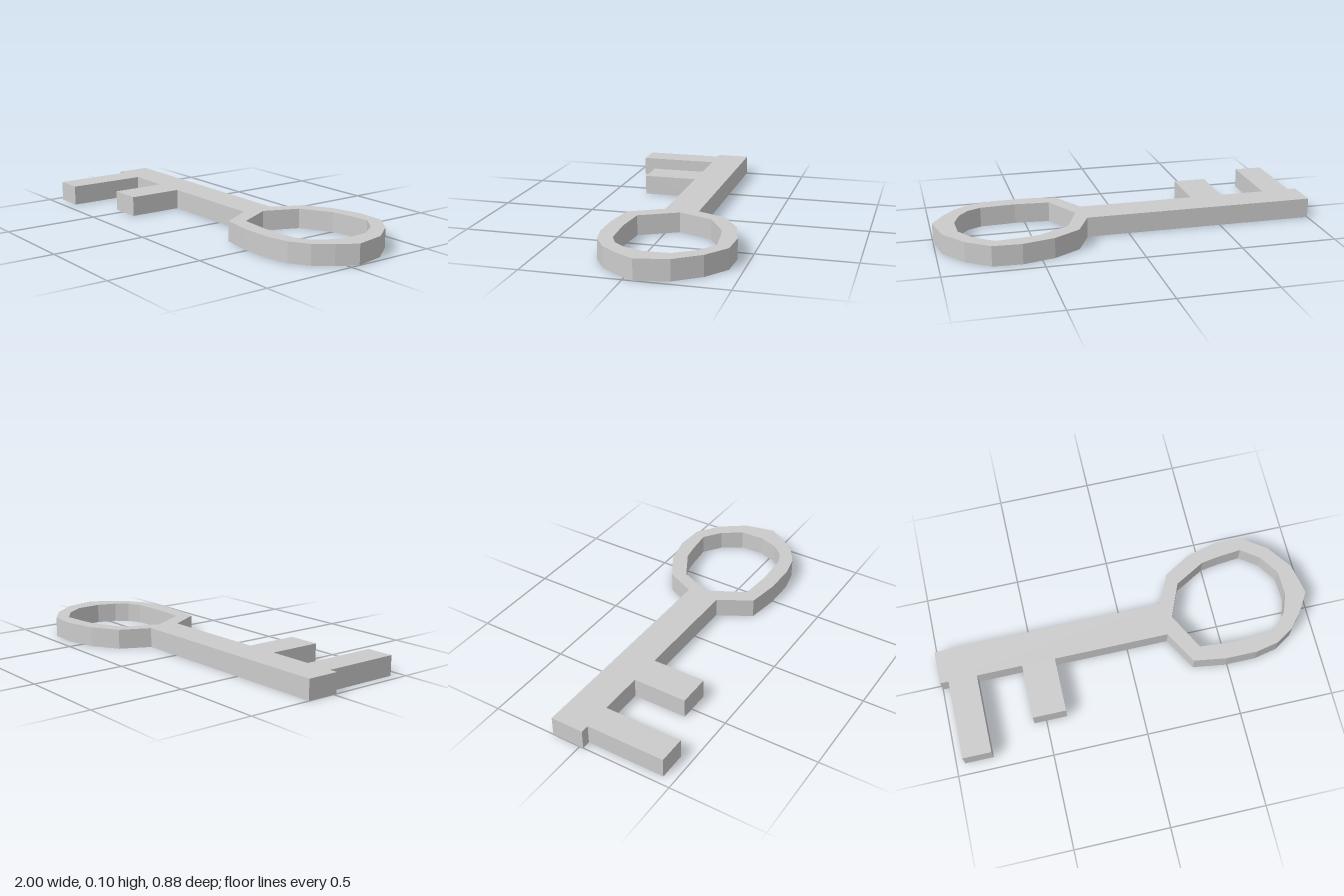
import * as THREE from 'three';

const THICKNESS = 0.105;
const SHAFT = { end: -1, back: -0.157, front: 0.02 };

// Teeth along the shaft's front edge: [x start, x end, z tip]
const TEETH = [[-0.955, -0.805, 0.44], [-0.565, -0.39, 0.31]];

// Hand-cut bow, as [x, z] in plan; the outer rim starts and ends at the shaft
const BOW_RIM = [
  [0.22, 0.02], [0.32, 0.195], [0.49, 0.22], [0.655, 0.22], [0.775, 0.195],
  [0.87, 0.135], [0.94, 0.05], [1, -0.05], [0.965, -0.215], [0.87, -0.345],
  [0.75, -0.432], [0.6, -0.44], [0.435, -0.4], [0.295, -0.315], [0.22, -0.157],
];
const BOW_HOLE = [
  [0.265, -0.07], [0.34, -0.25], [0.5, -0.34], [0.59, -0.355], [0.72, -0.368],
  [0.815, -0.3], [0.885, -0.195], [0.89, -0.065], [0.855, 0.035],
  [0.805, 0.095], [0.735, 0.13], [0.55, 0.14], [0.37, 0.125],
];

// Plan [x, z] to shape coordinates, which are laid flat after extruding
const toPlan = (points) => points.map(([x, z]) => new THREE.Vector2(x, -z));

export function createModel() {
  const group = new THREE.Group();
  group.name = 'key';

  // Shaft end, then the teeth, then around the bow
  const outline = [
    [SHAFT.end, SHAFT.back],
    [SHAFT.end, SHAFT.front],
    ...TEETH.flatMap(([x0, x1, tip]) => [
      [x0, SHAFT.front], [x0, tip], [x1, tip], [x1, SHAFT.front],
    ]),
    ...BOW_RIM,
  ];
  const shape = new THREE.Shape(toPlan(outline));
  shape.holes.push(new THREE.Path(toPlan(BOW_HOLE)));

  // One flat solid, standing on y = 0
  const geometry = new THREE.ExtrudeGeometry(shape, { depth: THICKNESS, bevelEnabled: false });
  geometry.rotateX(-Math.PI / 2);

  const material = new THREE.MeshStandardMaterial({ color: 0xcccccc, flatShading: true });
  const body = new THREE.Mesh(geometry, material);
  body.name = 'keyBody';
  group.add(body);
  return group;
}
